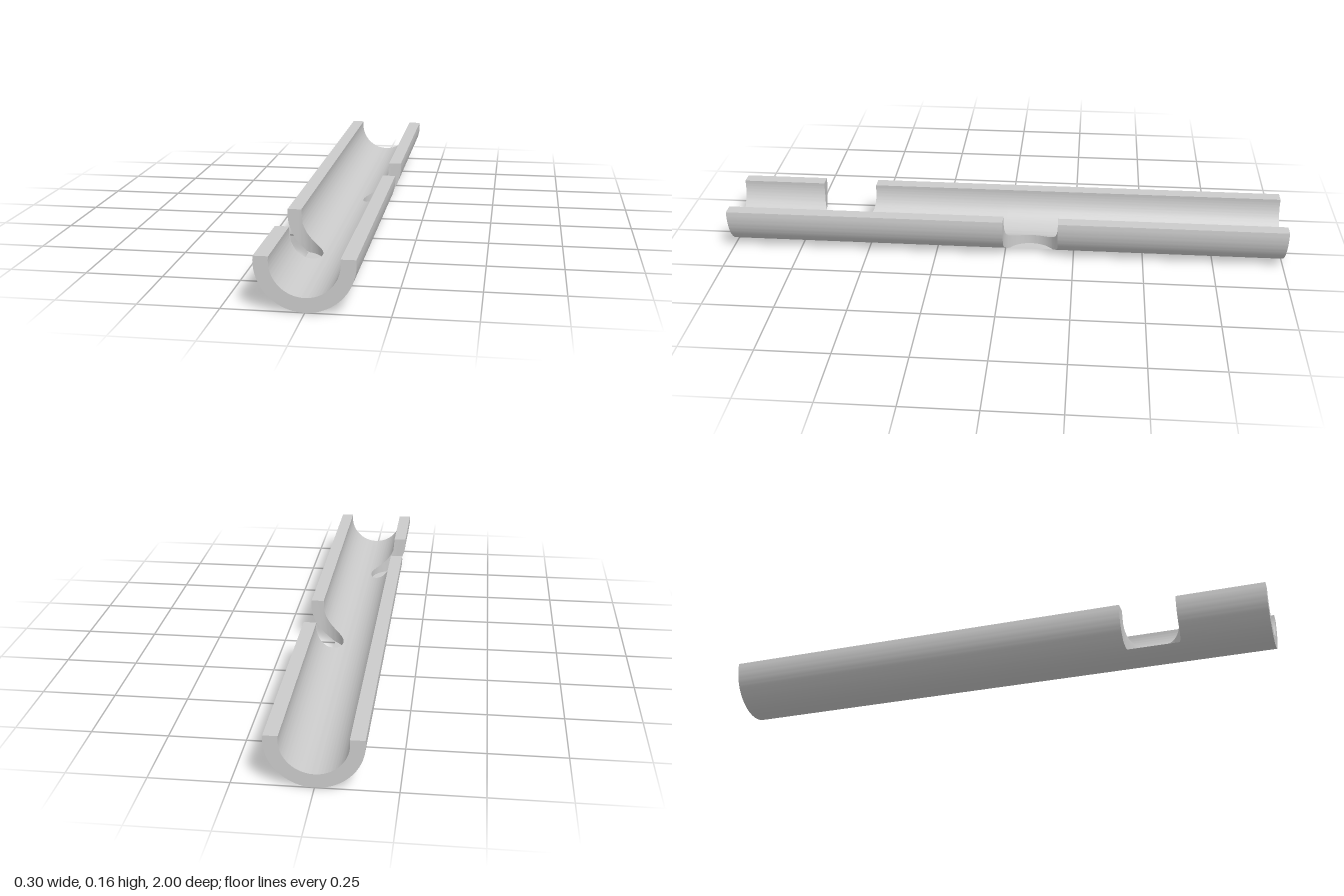
import * as THREE from 'three';
import { toCreasedNormals } from 'three/addons/utils/BufferGeometryUtils.js';

const OUTER = 0.15, INNER = 0.105, AXIS_Y = 0.15, RIM_Y = 0.165;
const N = 72; // points along each arc

const at = (r, a) => [r * Math.sin(a), AXIS_Y - r * Math.cos(a)];
const angleAtY = (r, y) => Math.acos((AXIS_Y - y) / r);
const RIM_OUTER = angleAtY(OUTER, RIM_Y), RIM_INNER = angleAtY(INNER, RIM_Y);

// Round pockets sunk from above into one wall, each with a flat floor
const pockets = [
  { side: 1, x: 0.118, z: -0.095, r: 0.098, floor: 0.0125 },
  { side: -1, x: 0.115, z: 0.598, r: 0.099, floor: 0.023 },
];

// How one wall of the channel ends: whole, or cut back to x = cut above the floor
function wallEnd(cut, floor) {
  if (cut === undefined) {
    const rim = at(OUTER, RIM_OUTER);
    return { outer: RIM_OUTER, foot: rim, top: rim, inner: RIM_INNER };
  }
  const outer = Math.max(angleAtY(OUTER, floor), Math.asin(cut / OUTER));
  const foot = [cut, Math.max(floor, at(OUTER, Math.asin(cut / OUTER))[1])];
  const through = cut < INNER - 0.0005;
  const inner = through ? Math.asin(cut / INNER) : RIM_INNER;
  return { outer, foot, top: through ? at(INNER, inner) : [cut, RIM_Y], inner };
}

// Closed cross-section: outer arc, right end, inner arc, left end
function section(left, right) {
  const arc = (r, rim, lo, hi) => Array.from({ length: N }, (_, i) =>
    at(r, THREE.MathUtils.clamp(rim * (2 * i / (N - 1) - 1), -lo, hi)));
  const mirror = ([x, y]) => [-x, y];
  return [
    ...arc(OUTER, RIM_OUTER, left.outer, right.outer),
    right.foot, right.top,
    ...arc(INNER, RIM_INNER, left.inner, right.inner).reverse(),
    mirror(left.top), mirror(left.foot),
  ];
}

function channelGeometry() {
  const whole = wallEnd();
  const full = section(whole, whole);
  const stations = [];
  const add = (z, profile) => stations.push(profile.map(([x, y]) => new THREE.Vector3(x, y, z)));

  // Stations along the length, closely spaced through each pocket
  add(-1, full);
  for (const p of pockets) {
    add(p.z - p.r, full);
    for (let k = 0; k <= 40; k++) {
      const t = Math.PI * (k / 40 - 0.5);
      const end = wallEnd(p.x - p.r * Math.cos(t), p.floor);
      add(p.z + p.r * Math.sin(t), p.side > 0 ? section(whole, end) : section(end, whole));
    }
    add(p.z + p.r, full);
  }
  add(1, full);

  const pos = [], u = new THREE.Vector3(), v = new THREE.Vector3();
  const tri = (a, b, c) => {
    if (u.subVectors(b, a).cross(v.subVectors(c, a)).length() < 1e-9) return;
    for (const q of [a, b, c]) pos.push(q.x, q.y, q.z);
  };
  const quad = (a, b, c, d) => { tri(a, b, c); tri(a, c, d); };

  // Skin between stations
  const M = full.length;
  for (let j = 0; j + 1 < stations.length; j++) {
    const s = stations[j], e = stations[j + 1];
    for (let i = 0; i < M; i++) {
      const k = (i + 1) % M;
      quad(s[i], s[k], e[k], e[i]);
    }
  }
  // C-shaped end faces
  const back = stations[0], front = stations[stations.length - 1];
  for (let i = 0; i + 1 < N; i++) {
    const m = 2 * N + 1 - i;
    quad(front[i], front[i + 1], front[m - 1], front[m]);
    quad(back[m], back[m - 1], back[i + 1], back[i]);
  }

  const g = new THREE.BufferGeometry();
  g.setAttribute('position', new THREE.Float32BufferAttribute(pos, 3));
  return toCreasedNormals(g, 0.5);
}

export function createModel() {
  const group = new THREE.Group();
  group.name = 'halfPipe';
  const channel = new THREE.Mesh(
    channelGeometry(),
    new THREE.MeshStandardMaterial({ color: 0xcccccc, side: THREE.DoubleSide }),
  );
  channel.name = 'notchedChannel';
  group.add(channel);
  return group;
}
